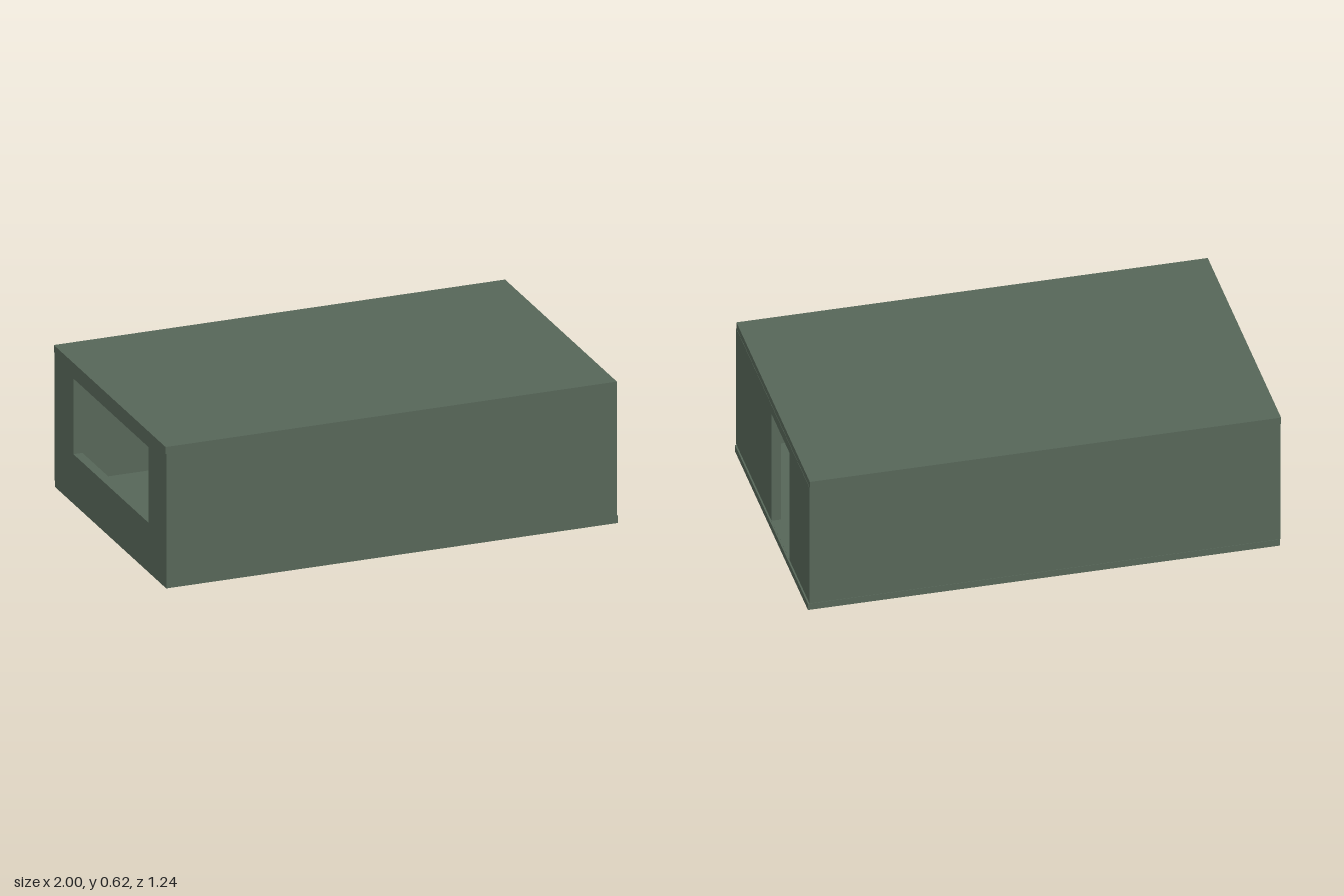
import * as THREE from 'three';

const DEPTH = 1.235, HEIGHT = 0.625, SLAB = 0.03, WALL = 0.04;

export function createModel() {
  const group = new THREE.Group();
  const material = new THREE.MeshStandardMaterial({ color: 0x566658, flatShading: true });

  const add = (name, geometry) => {
    const mesh = new THREE.Mesh(geometry, material);
    mesh.name = name;
    group.add(mesh);
    return mesh;
  };

  // Box given by its minimum and maximum corners
  const slab = (name, [x0, y0, z0], [x1, y1, z1]) => {
    add(name, new THREE.BoxGeometry(x1 - x0, y1 - y0, z1 - z0))
      .position.set((x0 + x1) / 2, (y0 + y1) / 2, (z0 + z1) / 2);
  };

  const rectangle = (PathType, z0, y0, z1, y1) => new PathType([
    new THREE.Vector2(z0, y0), new THREE.Vector2(z1, y0),
    new THREE.Vector2(z1, y1), new THREE.Vector2(z0, y1),
  ]);

  // End wall in the z-y plane with one opening, outer face at xMax
  const endWall = (name, xMax, opening) => {
    const z = DEPTH / 2 - WALL;
    const shape = rectangle(THREE.Shape, -z, SLAB, z, HEIGHT - SLAB);
    shape.holes.push(rectangle(THREE.Path, ...opening));
    const geometry = new THREE.ExtrudeGeometry(shape, { depth: WALL, bevelEnabled: false });
    geometry.rotateY(-Math.PI / 2);
    add(name, geometry).position.x = xMax;
  };

  // Floor and roof
  slab('floor', [-0.995, 0, -0.62], [1, SLAB, 0.613]);
  slab('roof', [-1, HEIGHT - SLAB, -0.62], [0.992, HEIGHT, 0.618]);

  // Long walls
  slab('frontWall', [-0.997, SLAB, DEPTH / 2 - WALL], [0.993, HEIGHT - SLAB, 0.618]);
  slab('backWall', [-0.997, SLAB, -0.618], [0.993, HEIGHT - SLAB, -DEPTH / 2 + WALL]);

  // End walls: a doorway down to the floor and a wide window
  endWall('doorWall', 0.993, [-0.28, SLAB + 0.0005, 0.022, 0.553]);
  endWall('windowWall', -0.997 + WALL, [-0.41, 0.22, 0.42, 0.553]);

  return group;
}
